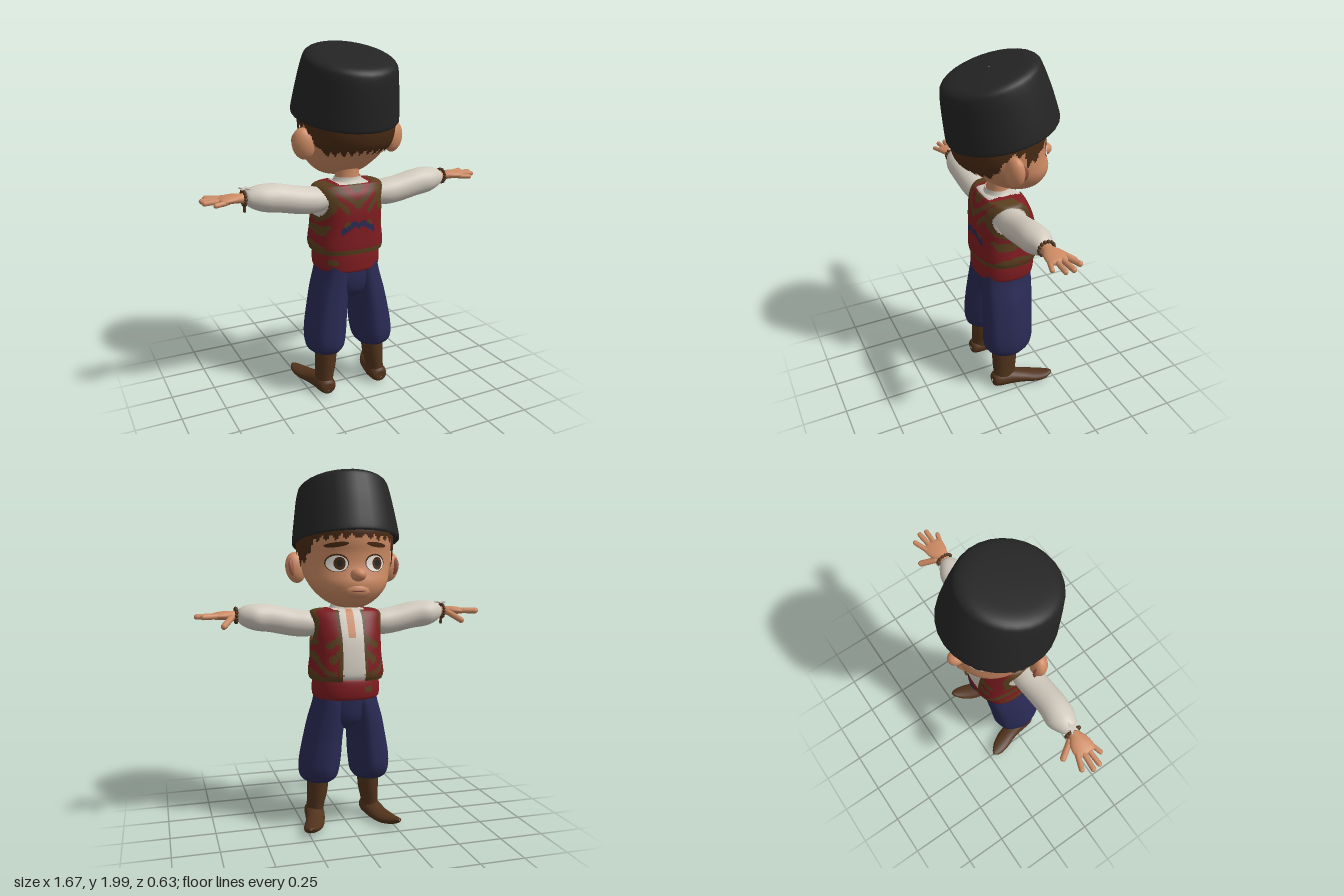
import * as THREE from 'three';

const mat = (name, color, double) => {
  const m = new THREE.MeshStandardMaterial({ color });
  m.name = name;
  if (double) m.side = THREE.DoubleSide;
  return m;
};

// Smooth profile through rows of [y, centreX, centreZ, radiusX, radiusZ, slope]
function profile(rows) {
  const full = rows.map(r => [...r, 0].slice(0, 6));
  const f = new THREE.CubicInterpolant(full.map((_, i) => i), full.flat(), 6, new Float32Array(6));
  return { last: rows.length - 1, at: t => f.evaluate(t) };
}

// Skin over a profile; rule(x, y, z) picks a material index per cell, or -1 for a hole
function loft(rows, { n = 28, m = rows.length * 3, e = 1, grow = 0, ripple = 0, rule } = {}) {
  const p = profile(rows), pos = [], cells = [];
  const pw = v => Math.sign(v) * Math.abs(v) ** e;
  for (let j = 0; j <= m; j++) {
    const [y, cx, cz, rx, rz, slope] = p.at(p.last * j / m);
    for (let i = 0; i < n; i++) {
      const a = i / n * Math.PI * 2, k = 1 + ripple * Math.cos(7 * a);
      const z = pw(Math.sin(a)) * (rz + grow) * k;
      pos.push(cx + pw(Math.cos(a)) * (rx + grow) * k, y + slope * z, cz + z);
    }
  }
  for (let j = 0; j < m; j++) for (let i = 0; i < n; i++) {
    const i2 = (i + 1) % n, a = j * n + i, b = j * n + i2, c = a + n, d = b + n;
    const mid = k => (pos[a * 3 + k] + pos[b * 3 + k] + pos[c * 3 + k] + pos[d * 3 + k]) / 4;
    const id = rule ? rule(mid(0), mid(1), mid(2)) : 0;
    if (id >= 0) (cells[id] ??= []).push(a, c, b, b, c, d);
  }
  const g = new THREE.BufferGeometry();
  g.setAttribute('position', new THREE.Float32BufferAttribute(pos, 3));
  g.setIndex(cells.flat());
  let start = 0;
  if (rule) cells.forEach((c, id) => { g.addGroup(start, c.length, id); start += c.length; });
  g.computeVertexNormals();
  return g;
}

function mirrored(geo) {
  const g = geo.clone().scale(-1, 1, 1);
  const ix = g.index.array;
  for (let i = 0; i < ix.length; i += 3) [ix[i], ix[i + 1]] = [ix[i + 1], ix[i]];
  return g;
}

function capsule(a, b, r) {
  const A = new THREE.Vector3(...a), B = new THREE.Vector3(...b), d = B.clone().sub(A);
  const g = new THREE.CapsuleGeometry(r, d.length() - r, 5, 10);
  g.applyQuaternion(new THREE.Quaternion().setFromUnitVectors(new THREE.Vector3(0, 1, 0), d.clone().normalize()));
  const c = A.add(B).multiplyScalar(0.5);
  return g.translate(c.x, c.y, c.z);
}

export function createModel() {
  const root = new THREE.Group();
  root.name = 'boy';
  const black = mat('hat black', 0x242424), hairBrown = mat('hair brown', 0x4a2b15, true);
  const skin = mat('skin', 0xcc8a63), linen = mat('linen', 0xd2cbbf, true);
  const red = mat('red cloth', 0x7e1c20, true), trim = mat('olive trim', 0x593f1e, true);
  const navy = mat('navy cloth', 0x2a2a55, true), leather = mat('boot leather', 0x51331c);
  const eyeWhite = mat('eye white', 0xe6e2da), lip = mat('lip', 0xa05c45);
  const add = (name, geo, m) => {
    const mesh = new THREE.Mesh(geo, m);
    mesh.name = name;
    root.add(mesh);
  };
  const pair = (name, geo, m) => {
    add('left ' + name, geo, m);
    add('right ' + name, mirrored(geo), m);
  };

  // Head, neck and nose; the face looks toward -z
  const headRows = [
    [1.262, 0, -.12, .01, .01], [1.27, 0, -.125, .07, .06], [1.30, 0, -.095, .135, .13],
    [1.35, 0, -.075, .19, .182], [1.40, 0, -.05, .222, .215], [1.45, 0, -.015, .24, .237],
    [1.50, 0, .003, .25, .243], [1.56, 0, .007, .255, .248], [1.62, 0, 0, .255, .252],
    [1.70, 0, -.01, .24, .235], [1.76, 0, 0, .15, .15]];
  add('head', loft(headRows, { n: 40, m: 40 }), skin);
  add('neck', loft([[1.2, 0, .02, .085, .075], [1.28, 0, .015, .068, .06], [1.42, 0, 0, .075, .075]]), skin);
  add('nose', new THREE.SphereGeometry(1, 18, 12).scale(.042, .036, .05).translate(0, 1.445, -.262), skin);
  add('muzzle', new THREE.SphereGeometry(1, 18, 12).scale(.075, .045, .04).translate(0, 1.36, -.232), skin);
  add('mouth', new THREE.SphereGeometry(1, 16, 8).scale(.04, .006, .008).translate(0, 1.36, -.268), lip);
  pair('ear', new THREE.SphereGeometry(1, 18, 14).scale(.062, .086, .045).rotateY(.35)
    .rotateZ(-.15).translate(.27, 1.478, .045), skin);
  pair('inner ear', new THREE.SphereGeometry(1, 14, 10).scale(.034, .05, .014).rotateY(.9)
    .rotateZ(-.15).translate(.295, 1.482, .015), lip);

  // Eyes and brows, thin plates wrapped onto the face
  const head = profile(headRows);
  const faceZ = (x, y) => {
    let lo = 0, hi = head.last;
    for (let k = 0; k < 30; k++) {
      const t = (lo + hi) / 2;
      if (head.at(t)[0] < y) lo = t; else hi = t;
    }
    const [, , cz, rx, rz] = head.at(lo);
    return cz - rz * Math.sqrt(Math.max(0, 1 - (x / rx) ** 2));
  };
  const plate = (name, cx, cy, rx, ry, tilt, lift, m) => {
    const g = new THREE.RingGeometry(0.001, 1, 28, 5).scale(rx, ry, 1).rotateZ(tilt).rotateY(Math.PI).translate(cx, cy, 0);
    const p = g.attributes.position;
    for (let i = 0; i < p.count; i++) p.setZ(i, faceZ(p.getX(i), p.getY(i)) - lift);
    g.computeVertexNormals();
    add(name, g, m);
  };
  for (const s of [1, -1]) {
    const side = s > 0 ? 'left ' : 'right ', x = s * .105;
    plate(side + 'eye outline', x, 1.505, .06, .048, 0, .003, hairBrown);
    plate(side + 'eye', x, 1.502, .055, .042, 0, .005, eyeWhite);
    plate(side + 'iris', x - .012, 1.503, .03, .034, 0, .007, hairBrown);
    plate(side + 'pupil', x - .012, 1.503, .015, .018, 0, .009, black);
    plate(side + 'brow', s * .11, 1.6, .062, .013, s * .12, .009, hairBrown);
  }

  // Hair shell with a ragged hairline: nape, ear gap, sideburn, fringe
  const stops = [[0, 1.42], [.95, 1.41], [1.2, 1.5], [1.35, 1.55], [1.6, 1.54], [1.7, 1.48], [1.95, 1.5], [2.25, 1.61], [3.2, 1.63]];
  const hairline = a => {
    const k = Math.max(1, stops.findIndex(s => s[0] >= a)), [a0, y0] = stops[k - 1], [a1, y1] = stops[k];
    return y0 + (y1 - y0) * (a - a0) / (a1 - a0) + .035 * Math.abs(((a * 5) % 1) * 2 - 1);
  };
  add('hair', loft(headRows, {
    n: 160, m: 90, grow: .014,
    rule: (x, y, z) => y > hairline(Math.atan2(Math.abs(x), z)) ? 0 : -1
  }), [hairBrown]);

  // Tall felt hat, leaning back
  add('hat', loft([
    [1.66, 0, -.01, .2, .2, -.22], [1.615, 0, -.015, .28, .285, -.22], [1.613, 0, -.015, .294, .297, -.22],
    [1.64, 0, -.01, .295, .3, -.22], [1.78, 0, .022, .274, .284, -.24], [1.88, 0, .048, .256, .264, -.27],
    [1.918, 0, .055, .238, .246, -.28], [1.936, 0, .06, .19, .2, -.29], [1.942, 0, .06, .1, .1, -.29],
    [1.944, 0, .06, .002, .002, -.29]], { m: 36 }), black);

  // Shirt body with an open slit, and its collar
  const torso = [
    [.86, 0, -.01, .2, .17], [.9, 0, -.015, .207, .18], [1.0, 0, -.012, .195, .176], [1.1, 0, -.003, .195, .165],
    [1.18, 0, .008, .203, .142], [1.225, 0, .01, .2, .118], [1.246, 0, .012, .17, .1], [1.255, 0, .015, .08, .065]];
  add('shirt', loft(torso, {
    n: 96, m: 40, e: .8, grow: -.012,
    rule: (x, y, z) => z < 0 && Math.abs(x) < .022 && y > 1.09 ? 1 : 0
  }), [linen, skin]);
  add('collar', loft([[1.235, 0, .015, .1, .085], [1.26, 0, .017, .082, .07], [1.278, 0, .018, .075, .066]]), linen);

  // Open vest: trimmed edges, mottled embroidery and a chevron on the back
  add('vest', loft(torso, {
    n: 150, m: 70, e: .8, grow: .004,
    rule: (x, y, z) => {
      const ax = Math.abs(x), hole = Math.hypot((y - 1.15) / .115, (z - .025) / .13);
      if (z < 0 && ax < .06 || ax > .12 && hole < .72 || y > 1.247 && ax < .09) return -1;
      if (z < 0 && ax < .08 || ax > .12 && hole < .95 || y < .89) return 1;
      if (z > 0 && ax < .1 && Math.abs(y - 1.04 + .6 * Math.abs(ax - .02)) < .017) return 2;
      return Math.sin(34 * ax + 2 * Math.sin(24 * y)) * Math.sin(38 * y + 2 * Math.sin(25 * ax + 9 * z)) > .5 ? 1 : 0;
    }
  }), [red, trim, navy]);

  // Sash with small stitched marks
  add('sash', loft([
    [.75, 0, -.005, .15, .14], [.757, 0, -.007, .182, .165], [.79, 0, -.01, .19, .171],
    [.84, 0, -.01, .188, .17], [.87, 0, -.008, .18, .163], [.878, 0, -.008, .15, .14]], {
    n: 100, m: 40, e: .85,
    rule: (x, y, z) => Math.abs(y - .812) < .014 &&
      (z > 0 && Math.abs(x + .135) < .022 || z < 0 && Math.abs(x + .09) < .02) ? 1 : 0
  }), [red, trim]);

  // Baggy trousers
  add('trouser hips', loft([[.57, 0, 0, .03, .07], [.62, 0, 0, .13, .13], [.7, 0, 0, .185, .15], [.79, 0, -.003, .172, .152]]), navy);
  pair('trouser leg', loft([
    [.275, .15, .03, .05, .06], [.258, .15, .03, .075, .09], [.285, .152, .028, .105, .128], [.34, .151, .022, .116, .147],
    [.42, .143, .017, .117, .15], [.52, .13, .012, .11, .15], [.62, .113, .005, .105, .15],
    [.72, .093, 0, .095, .15], [.79, .085, 0, .088, .145]], { n: 42, ripple: .018 }), navy);

  // Boots with upturned toes
  pair('boot shaft', loft([[.03, .17, .055, .052, .065], [.1, .166, .05, .05, .068], [.18, .156, .045, .058, .075],
    [.29, .15, .04, .063, .08]]), leather);
  pair('boot foot', loft([
    [-.13, .17, .045, .01, .01], [-.125, .17, .048, .04, .036], [-.09, .17, .052, .054, .048], [-.02, .176, .05, .057, .048],
    [.05, .19, .04, .056, .038], [.12, .214, .034, .057, .03], [.18, .238, .04, .044, .022],
    [.215, .252, .052, .022, .014], [.23, .258, .058, .003, .003]]).rotateX(-Math.PI / 2), leather);

  // Sleeves and hands, lofted upright and laid along x
  const alongX = rows => loft(rows).rotateZ(-Math.PI / 2);
  pair('sleeve', alongX([
    [.14, -1.165, .03, .06, .07], [.22, -1.166, .036, .074, .08], [.3, -1.175, .04, .077, .079], [.42, -1.2, .042, .078, .079],
    [.5, -1.207, .036, .074, .081], [.555, -1.213, .037, .06, .062], [.592, -1.216, .04, .036, .038], [.596, -1.217, .04, .01, .01]]), linen);
  pair('palm', alongX([
    [.57, -1.218, .04, .026, .03], [.615, -1.22, .038, .025, .031], [.66, -1.222, .034, .024, .052],
    [.705, -1.22, .033, .021, .06], [.735, -1.218, .035, .015, .05], [.745, -1.217, .035, .002, .005]]), skin);
  const fingers = [
    ['index finger', [.7, 1.22, -.006], [.795, 1.22, -.042], .015], ['middle finger', [.71, 1.222, .02], [.826, 1.219, .01], .015],
    ['ring finger', [.71, 1.22, .048], [.822, 1.216, .052], .014], ['little finger', [.69, 1.215, .072], [.775, 1.21, .098], .013],
    ['thumb', [.63, 1.215, .005], [.688, 1.168, -.08], .017]];
  for (const [name, a, b, r] of fingers) pair(name, capsule(a, b, r), skin);

  // Beaded bracelets, one carrying a star
  for (const s of [1, -1]) for (let i = 0; i < 14; i++) {
    const a = i / 14 * Math.PI * 2;
    add(s > 0 ? 'left bracelet bead' : 'right bracelet bead',
      new THREE.SphereGeometry(.01, 8, 6).translate(s * .607, 1.22 + .038 * Math.sin(a), .038 + .042 * Math.cos(a)), leather);
  }
  const star = new THREE.Shape();
  for (let i = 0; i < 10; i++) {
    const a = i / 10 * Math.PI * 2, r = i % 2 ? .016 : .036;
    star[i ? 'lineTo' : 'moveTo'](r * Math.cos(a), r * Math.sin(a));
  }
  add('star charm', new THREE.ExtrudeGeometry(star, { depth: .007, bevelEnabled: false })
    .rotateX(-Math.PI / 2).translate(-.595, 1.266, .038), linen);
  add('hanging bead', capsule([-.605, 1.185, .04], [-.605, 1.145, .04], .008), leather);
  return root;
}
